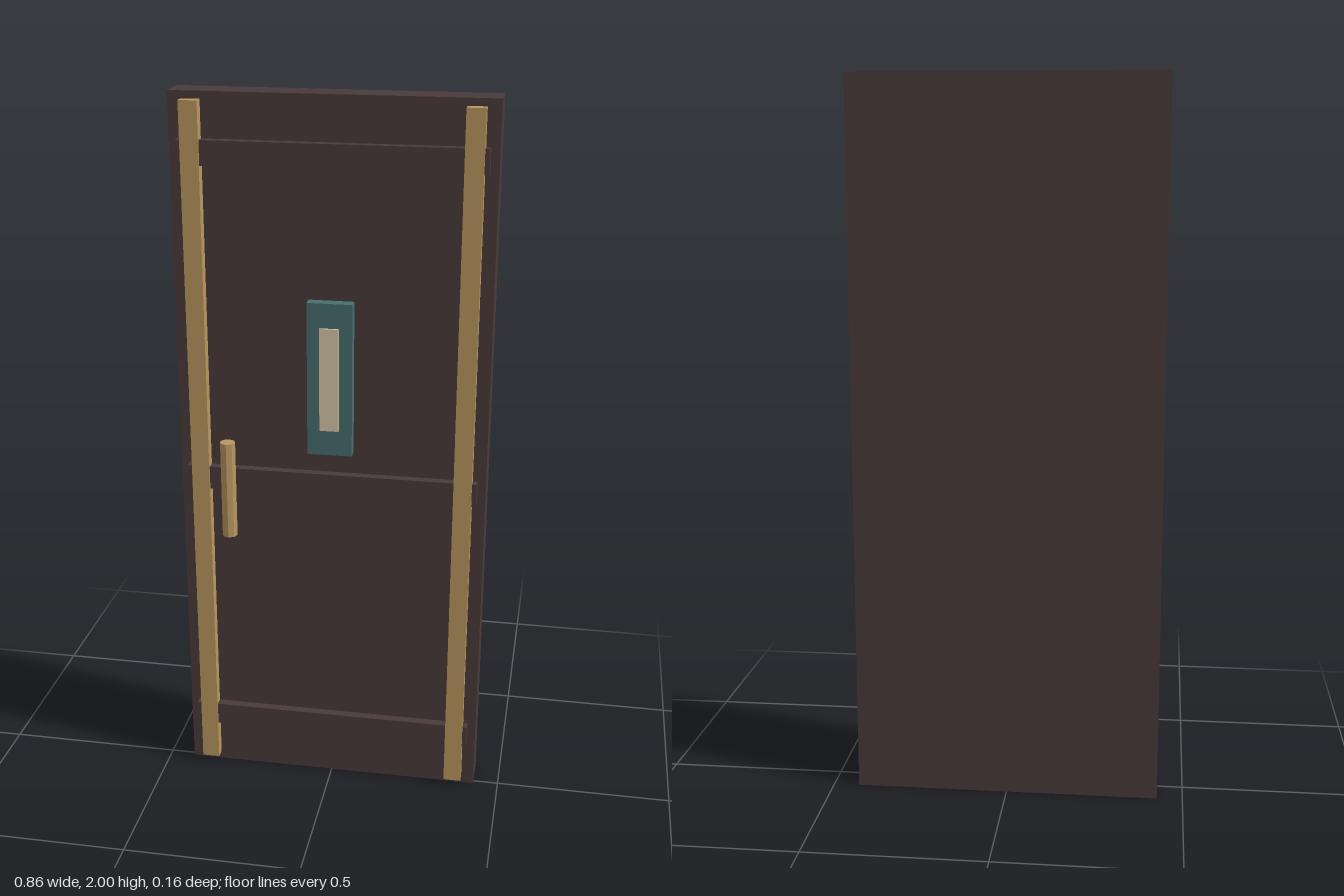
import * as THREE from 'three';

const mat = (name, color) => {
  const m = new THREE.MeshStandardMaterial({ color, flatShading: true });
  m.name = name;
  return m;
};

export function createModel() {
  const door = new THREE.Group();
  door.name = 'door';
  const wood = mat('darkWood', 0x4a3a3a);
  const brass = mat('brass', 0xb9975f);
  const teal = mat('teal', 0x486e70);
  const cream = mat('cream', 0xd8c8a8);

  const add = (name, geometry, material, x, y, z) => {
    const mesh = new THREE.Mesh(geometry, material);
    mesh.name = name;
    mesh.position.set(x, y, z);
    door.add(mesh);
  };
  // Box given by centre x, width and its y and z limits
  const box = (name, material, x, w, y0, y1, z0, z1) =>
    add(name, new THREE.BoxGeometry(w, y1 - y0, z1 - z0), material, x, (y0 + y1) / 2, (z0 + z1) / 2);

  // Door slab
  box('slab', wood, 0, 0.856, 0, 2, -0.082, 0.012);

  // Horizontal rails
  [['bottomRail', 0.173], ['middleRail', 0.942], ['topRail', 1.847]].forEach(([name, y]) =>
    box(name, wood, 0, 0.81, y - 0.033, y + 0.033, 0.01, 0.037));

  // Vertical brass trim strips
  for (const side of [-1, 1])
    box(side < 0 ? 'rightTrim' : 'leftTrim', brass, side * 0.367, 0.05, 0.024, 1.98, 0.011, 0.042);

  // Window frame and its bright slit
  box('windowFrame', teal, 0, 0.123, 1.037, 1.465, 0.012, 0.0445);
  box('windowSlit', cream, 0, 0.053, 1.11, 1.398, 0.047, 0.053);

  // Eight-sided pull handle
  add('handle', new THREE.CylinderGeometry(0.0215, 0.0215, 0.28, 8), brass, -0.283, 0.921, 0.058);

  return door;
}
